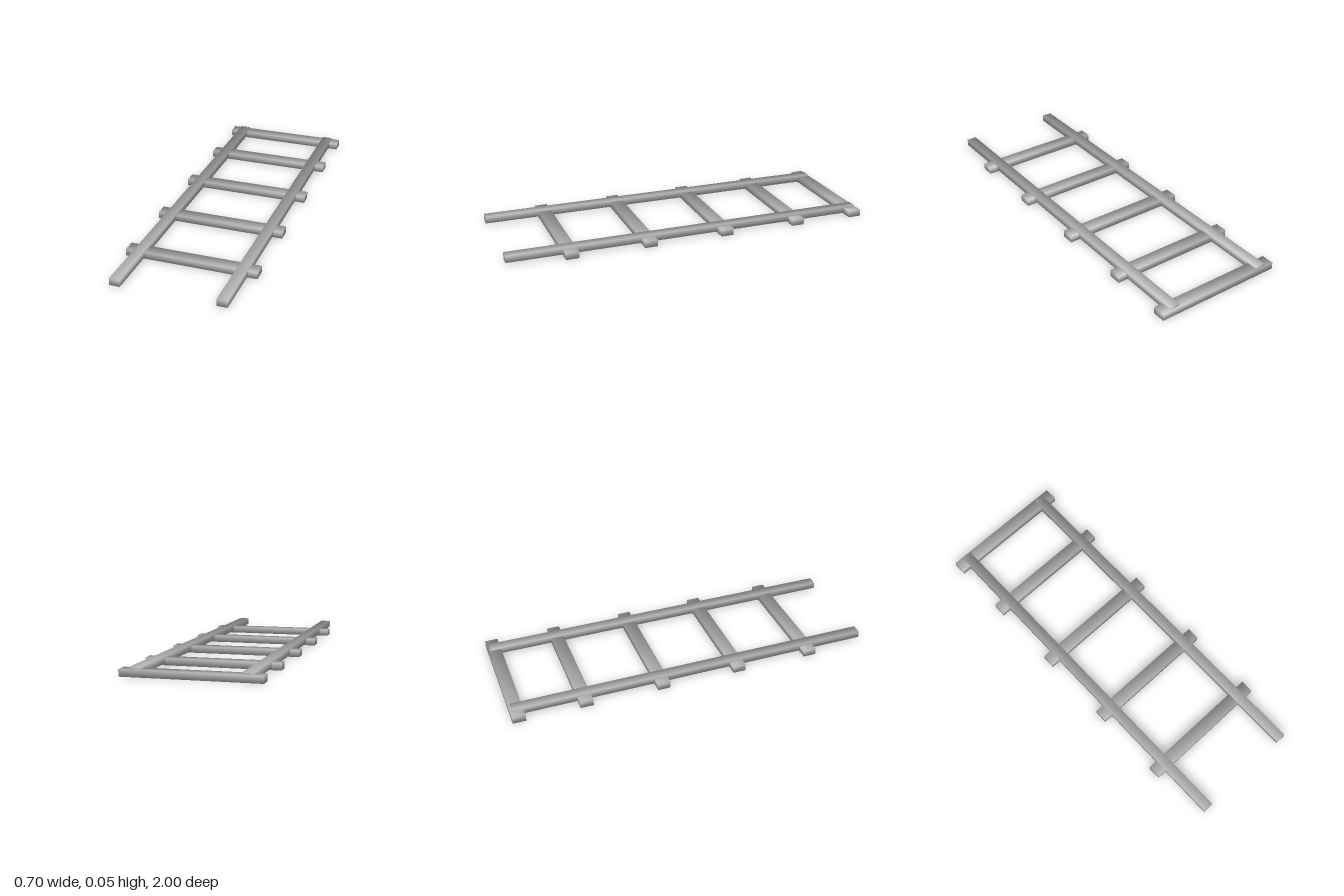
import * as THREE from 'three';
import { mergeVertices } from 'three/addons/utils/BufferGeometryUtils.js';

// Box with eight shared corners and softly blended normals
function softBeam(width, height, depth) {
  const box = new THREE.BoxGeometry(width, height, depth);
  box.deleteAttribute('normal');
  box.deleteAttribute('uv');
  const geometry = mergeVertices(box);
  const p = geometry.attributes.position;
  const normals = [];
  const k = 1 / Math.sqrt(3);
  for (let i = 0; i < p.count; i++) {
    normals.push(Math.sign(p.getX(i)) * k, Math.sign(p.getY(i)) * k, Math.sign(p.getZ(i)) * k);
  }
  geometry.setAttribute('normal', new THREE.Float32BufferAttribute(normals, 3));
  return geometry;
}

export function createModel() {
  const ladder = new THREE.Group();
  ladder.name = 'ladder';
  const wood = new THREE.MeshStandardMaterial({ color: 0xb4b4b4 });
  wood.name = 'plain grey';

  const add = (name, geometry, x, y, z) => {
    const mesh = new THREE.Mesh(geometry, wood);
    mesh.name = name;
    mesh.position.set(x, y, z);
    ladder.add(mesh);
  };

  // Two long rails, let into the rungs
  const rail = softBeam(0.055, 0.037, 1.99);
  add('leftRail', rail, 0.275, 0.0285, 0.005);
  add('rightRail', rail, -0.275, 0.0285, 0.005);

  // Five rungs, the rearmost just closing off the rails
  const rung = softBeam(0.704, 0.036, 0.07);
  [-0.965, -0.61, -0.187, 0.245, 0.668].forEach((z, i) => add(`rung${i + 1}`, rung, 0, 0.018, z));

  return ladder;
}
